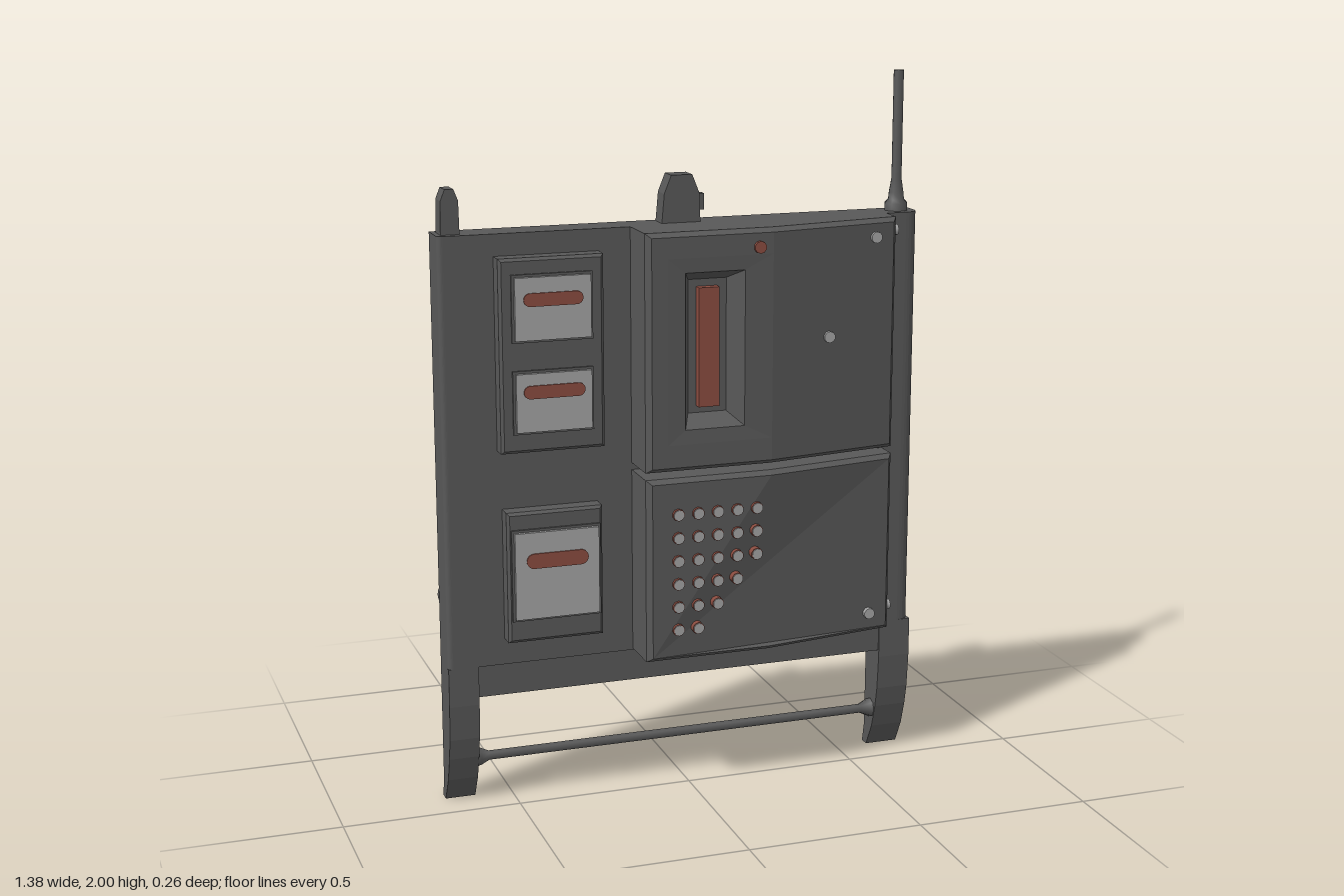
import * as THREE from 'three';

const mat = (name, color) => {
  const m = new THREE.MeshStandardMaterial({ color, side: THREE.DoubleSide });
  m.name = name;
  return m;
};

export function createModel() {
  const root = new THREE.Group();
  root.name = 'wallConsole';
  const dark = mat('darkGrey', 0x585858);
  const light = mat('lightGrey', 0xa4a4a4);
  const red = mat('rustRed', 0x8a4c40);

  const add = (name, geo, m, x = 0, y = 0, z = 0) => {
    const mesh = new THREE.Mesh(geo, m);
    mesh.name = name;
    mesh.position.set(x, y, z);
    root.add(mesh);
    return mesh;
  };
  // box given by its limits
  const box = (name, m, x0, x1, y0, y1, z0, z1) =>
    add(name, new THREE.BoxGeometry(x1 - x0, y1 - y0, z1 - z0), m, (x0 + x1) / 2, (y0 + y1) / 2, (z0 + z1) / 2);
  const poly = (pts) => new THREE.Shape(pts.map(([a, b]) => new THREE.Vector2(a, b)));
  const rect = (x0, x1, y0, y1) => [[x0, y0], [x1, y0], [x1, y1], [x0, y1]];
  const extrude = (shape, depth) =>
    new THREE.ExtrudeGeometry(shape, { depth, bevelEnabled: false, curveSegments: 8 });

  // front of the raised covers falls away towards the right pillar
  const slope = (x, z) => (z > 0.08 ? z - Math.max(0, x - 0.2) * 0.16 : z);
  // open-backed shell lofted through rectangles [x0, x1, y0, y1, z], closed at the last one
  const shell = (name, rings) => {
    const loops = rings.map(([x0, x1, y0, y1, z]) => {
      const mid = Math.min(0.2, x1);
      return [[x0, y0], [mid, y0], [x1, y0], [x1, y1], [mid, y1], [x0, y1]].map(([x, y]) => [x, y, slope(x, z)]);
    });
    const p = [];
    for (let i = 0; i < loops.length - 1; i++) {
      for (let j = 0; j < 6; j++) {
        const k = (j + 1) % 6;
        const [a, b, c, d] = [loops[i][j], loops[i][k], loops[i + 1][k], loops[i + 1][j]];
        p.push(...a, ...b, ...c, ...a, ...c, ...d);
      }
    }
    const e = loops[loops.length - 1];
    for (let j = 1; j < 5; j++) p.push(...e[0], ...e[j], ...e[j + 1]);
    const g = new THREE.BufferGeometry();
    g.setAttribute('position', new THREE.Float32BufferAttribute(p, 3));
    g.computeVertexNormals();
    return add(name, g, dark);
  };

  // backing sheet, open behind each cover and module
  const sheet = poly(rect(-0.66, 0.62, 0.41, 1.61));
  for (const r of [[-0.16, 0.59, 0.955, 1.6], [-0.16, 0.59, 0.42, 0.935],
    [-0.54, -0.25, 1.02, 1.55], [-0.53, -0.26, 0.485, 0.855]]) sheet.holes.push(poly(rect(...r)));
  add('backingSheet', extrude(sheet, 0.01), dark, 0, 0, -0.03);
  box('topFlange', dark, -0.64, 0.6, 1.595, 1.61, -0.115, -0.02);
  box('bottomFlange', dark, -0.64, 0.6, 0.41, 0.425, -0.115, -0.02);
  box('lowerRail', dark, -0.61, 0.6, 0.32, 0.41, -0.115, -0.025);

  // side pillars with a rounded front corner
  const pillar = (name, s, inner, r) => {
    const sh = new THREE.Shape();
    sh.moveTo(s * inner, 0.115);
    sh.lineTo(s * 0.69, 0.115);
    sh.lineTo(s * 0.69, 0.02 + r);
    sh.quadraticCurveTo(s * 0.69, 0.02, s * (0.69 - r), 0.02);
    sh.lineTo(s * inner, 0.02);
    sh.closePath();
    add(name, extrude(sh, 1.2).rotateX(-Math.PI / 2), dark, 0, 0.41, 0);
  };
  pillar('leftPillar', 1, 0.59, 0.04);
  pillar('rightPillar', -1, 0.63, 0.015);
  add('pillarSocket', new THREE.TorusGeometry(0.038, 0.006, 6, 20), dark, -0.65, 0.6, -0.115);

  // raised covers, the upper one with a sunken slot
  shell('upperCover', [
    [-0.16, 0.59, 0.955, 1.61, -0.03], [-0.16, 0.59, 0.955, 1.61, 0.105],
    [-0.145, 0.578, 0.967, 1.598, 0.12], [-0.1, 0.2, 1.03, 1.54, 0.12],
    [-0.05, 0.12, 1.07, 1.5, 0.118], [-0.02, 0.09, 1.1, 1.47, 0.05]]);
  shell('lowerCover', [
    [-0.16, 0.59, 0.415, 0.935, -0.03], [-0.16, 0.59, 0.415, 0.935, 0.105],
    [-0.145, 0.578, 0.427, 0.923, 0.12]]);
  box('slotBar', red, 0.003, 0.062, 1.12, 1.45, 0.04, 0.075);

  // side modules with their displays and pointer strips
  const module = (name, x0, x1, y0, y1) => shell(name, [
    [x0, x1, y0, y1, -0.03], [x0, x1, y0, y1, 0.023],
    [x0 + 0.008, x1 - 0.008, y0 + 0.008, y1 - 0.008, 0.03]]);
  module('upperModule', -0.54, -0.25, 1.02, 1.55);
  module('lowerModule', -0.53, -0.26, 0.485, 0.855);
  const display = (x0, x1, y0, y1, stripY, w, h) => {
    box('displayFrame', dark, x0 - 0.007, x1 + 0.007, y0 - 0.007, y1 + 0.007, 0.022, 0.036);
    box('display', light, x0, x1, y0, y1, 0.014, 0.046);
    const s = new THREE.Shape();
    s.absarc(w - h, 0, h, -Math.PI / 2, Math.PI / 2);
    s.absarc(h - w, 0, h, Math.PI / 2, Math.PI * 1.5);
    add('displayStrip', extrude(s, 0.04), red, (x0 + x1) / 2, stripY, 0.01);
  };
  display(-0.5, -0.29, 1.33, 1.5, 1.44, 0.082, 0.018);
  display(-0.5, -0.29, 1.08, 1.24, 1.19, 0.085, 0.018);
  display(-0.512, -0.275, 0.555, 0.8, 0.72, 0.087, 0.021);

  // button grid: red bodies with light faces
  const disc = (r, d) => new THREE.CylinderGeometry(r, r, d, 10).rotateX(Math.PI / 2);
  [5, 5, 5, 4, 3, 2].forEach((n, row) => {
    for (let i = 0; i < n; i++) {
      const x = -0.072 + i * 0.057, y = 0.835 - row * 0.066;
      add('button', disc(0.017, 0.022), red, x, y, 0.117);
      add('buttonFace', disc(0.015, 0.004), light, x, y, 0.129);
    }
  });

  // small studs on the covers
  for (const [x, y] of [[0.52, 1.56], [0.375, 1.295], [0.52, 0.473]]) {
    add('stud', disc(0.016, 0.02), light, x, y, slope(x, 0.12));
  }
  for (const y of [1.57, 0.478]) {
    add('sideStud', disc(0.015, 0.02).rotateY(Math.PI / 2), light, 0.592, y, 0.025);
  }
  add('indicator', disc(0.017, 0.02), red, 0.16, 1.56, 0.12);

  // channel-shaped legs curving back to the floor, open behind
  const front = [[0.02, 0.41], [0.02, 0.3], [0.028, 0.2], [0.04, 0.14], [0.062, 0.07], [0.1, 0]];
  const side = poly([...front, [0.13, 0], [0.117, 0.06], [0.115, 0.41]]);
  const face = poly([...front, ...front.map(([u, v]) => [u + 0.015, v]).reverse()]);
  const legPart = (name, shape, x0, x1) =>
    add(name, extrude(shape, x1 - x0).rotateY(Math.PI / 2), dark, x0, 0, 0);
  for (const [name, x0, x1] of [['leftLeg', 0.595, 0.69], ['rightLeg', -0.69, -0.605]]) {
    legPart(name + 'Face', face, x0, x1);
    legPart(name + 'Side', side, x0, x0 + 0.012);
    legPart(name + 'Side', side, x1 - 0.012, x1);
  }

  // cross rod with flared ends
  const rod = [[0.03, -0.61], [0.026, -0.595], [0.014, -0.57], [0.014, 0.56], [0.028, 0.59], [0.028, 0.6]];
  add('crossRod', new THREE.LatheGeometry(rod.map(([r, y]) => new THREE.Vector2(r, y)), 8)
    .rotateZ(-Math.PI / 2).toNonIndexed(), dark, 0, 0.125, -0.075);

  // pegs on the top edge
  const peg = (name, pts, x, z, d) => add(name, extrude(poly(pts), d), dark, x, 1.6, z);
  peg('rightPeg', [[-0.026, 0], [0.026, 0], [0.024, 0.1], [0.012, 0.13], [-0.012, 0.13], [-0.024, 0.1]], -0.65, -0.095, 0.055);
  peg('centrePeg', [[-0.058, 0], [0.054, 0], [0.05, 0.09], [0.03, 0.14], [-0.03, 0.14], [-0.05, 0.09]], -0.005, -0.1, 0.055);
  box('pegNub', dark, 0.045, 0.064, 1.64, 1.685, -0.08, -0.06);

  // aerial
  const aerial = [[0.034, 1.6], [0.034, 1.63], [0.024, 1.64], [0.022, 1.66], [0.015, 1.7], [0.015, 2], [0, 2]];
  add('aerial', new THREE.LatheGeometry(aerial.map(([r, y]) => new THREE.Vector2(r, y)), 8),
    dark, 0.641, 0, -0.073);

  return root;
}
